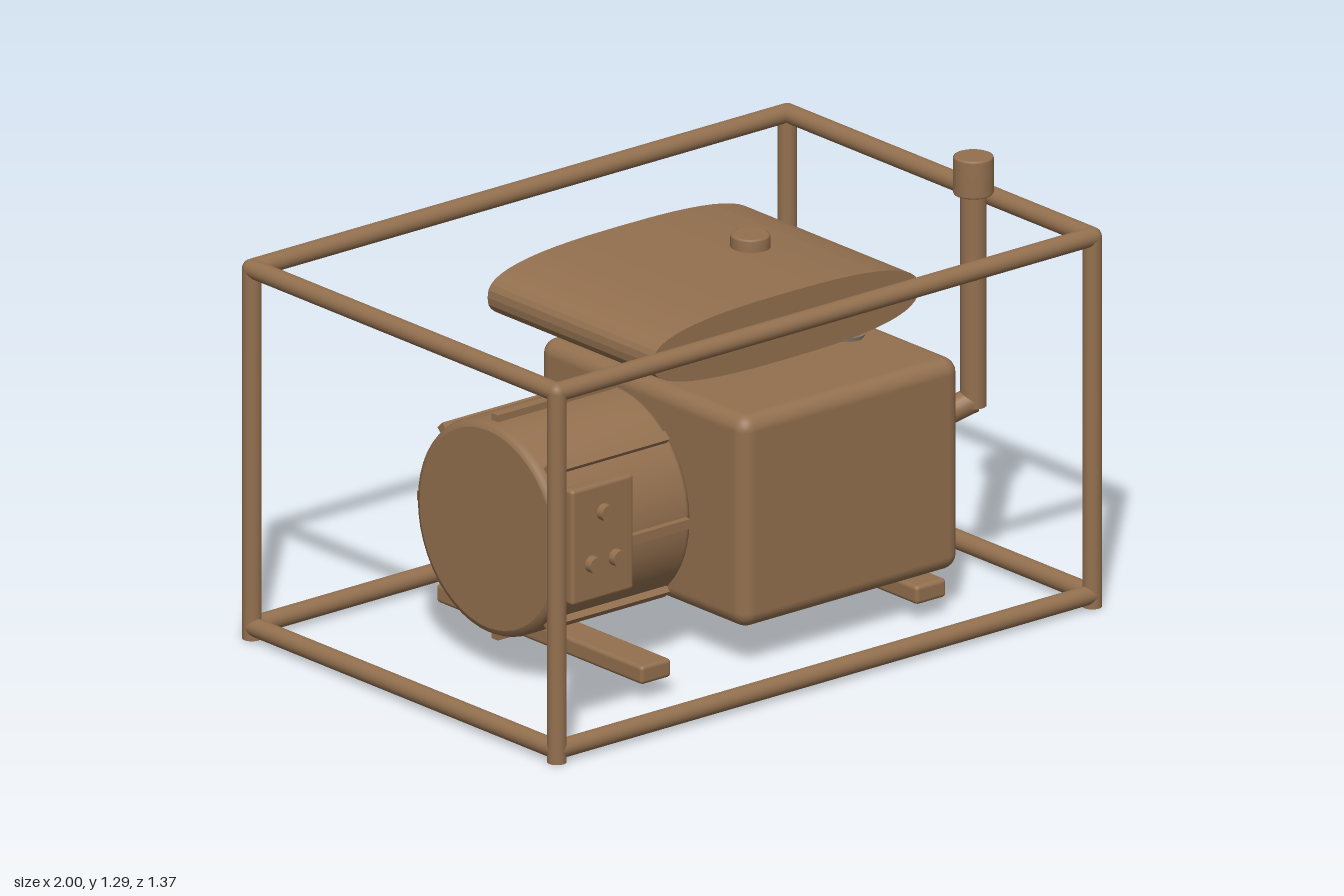
import * as THREE from 'three';
import { RoundedBoxGeometry } from 'three/addons/geometries/RoundedBoxGeometry.js';

export function createModel() {
  const model = new THREE.Group();
  const brown = new THREE.MeshStandardMaterial({ color: 0x93704f });
  brown.name = 'brown paint';
  const grey = new THREE.MeshStandardMaterial({ color: 0x8a7d72 });
  grey.name = 'bare metal';

  const add = (name, geometry, x = 0, y = 0, z = 0, material = brown, parent = model) => {
    const mesh = new THREE.Mesh(geometry, material);
    mesh.name = name;
    mesh.position.set(x, y, z);
    parent.add(mesh);
    return mesh;
  };
  const group = (name, x = 0, y = 0, z = 0) => {
    const g = new THREE.Group();
    g.name = name;
    g.position.set(x, y, z);
    model.add(g);
    return g;
  };
  // Straight round bar between two points
  const bar = (name, a, b, r, parent = model) => {
    const from = new THREE.Vector3(...a), to = new THREE.Vector3(...b);
    const dir = to.clone().sub(from);
    const mesh = add(name, new THREE.CylinderGeometry(r, r, dir.length(), 20), 0, 0, 0, brown, parent);
    mesh.position.copy(from).add(to).multiplyScalar(0.5);
    mesh.quaternion.setFromUnitVectors(new THREE.Vector3(0, 1, 0), dir.normalize());
    return mesh;
  };
  // Capped cylinder with softened rims, along y and centred
  const softCylinder = (r, h, bevel, sides) => new THREE.LatheGeometry([
    [0, -h / 2], [r - bevel, -h / 2], [r - bevel, -h / 2], [r - bevel * 0.3, -h / 2 + bevel * 0.3],
    [r, -h / 2 + bevel], [r, h / 2 - bevel], [r - bevel * 0.3, h / 2 - bevel * 0.3],
    [r - bevel, h / 2], [r - bevel, h / 2], [0, h / 2],
  ].map(([x, y]) => new THREE.Vector2(x, y)), sides);

  // Tubular frame
  const frame = group('frame');
  const FX = 0.973, FZ = 0.655, LOW = 0.036, HIGH = 1.092, FR = 0.0275;
  for (const y of [LOW, HIGH]) {
    for (const s of [-1, 1]) {
      bar('longRail', [-FX, y, s * FZ], [FX, y, s * FZ], FR, frame);
      bar('crossRail', [s * FX, y, -FZ], [s * FX, y, FZ], FR, frame);
    }
  }
  for (const sx of [-1, 1]) {
    for (const sz of [-1, 1]) {
      bar('post', [sx * FX, 0, sz * FZ], [sx * FX, HIGH, sz * FZ], FR, frame);
      add('frameCorner', new THREE.SphereGeometry(FR, 16, 10), sx * FX, HIGH, sz * FZ, brown, frame);
    }
  }

  // Mounting feet
  for (const x of [-0.43, 0.57]) {
    add('foot', new RoundedBoxGeometry(0.11, 0.055, 0.885, 2, 0.012), x, 0.0775, 0);
  }

  // Engine block
  add('engineBlock', new RoundedBoxGeometry(0.795, 0.625, 0.885, 3, 0.045), 0.2825, 0.4325, 0);

  // Alternator drum with eight lengthwise ribs
  const alternator = group('alternator', -0.43, 0.434, 0);
  add('drum', softCylinder(0.313, 0.482, 0.022, 48), 0, 0, 0, brown, alternator).rotation.z = Math.PI / 2;
  for (let i = 0; i < 8; i++) {
    const a = i * Math.PI / 4;
    const rib = add('rib', new THREE.BoxGeometry(0.43, 0.035, 0.028),
      0, Math.cos(a) * 0.315, Math.sin(a) * 0.315, brown, alternator);
    rib.rotation.x = a;
  }

  // Tilted finned cylinder
  const head = group('finnedCylinder', 0.462, 0.7, 0);
  head.rotation.z = -0.22;
  add('cylinderBarrel', new THREE.CylinderGeometry(0.11, 0.11, 0.3, 32), 0, 0.1, 0, grey, head);
  for (let i = 0; i < 5; i++) {
    add('coolingFin', new THREE.CylinderGeometry(0.175, 0.175, 0.01, 36), 0, 0.07 + i * 0.045, 0, grey, head);
  }

  // Fuel tank: rounded-oval section extruded front to back
  const section = [];
  const power = (v) => Math.sign(v) * Math.pow(Math.abs(v), 2 / 2.7);
  for (let i = 0; i < 48; i++) {
    const a = i / 48 * Math.PI * 2;
    section.push(new THREE.Vector2(0.483 * power(Math.cos(a)), 0.098 * power(Math.sin(a))));
  }
  const tank = new THREE.ExtrudeGeometry(new THREE.Shape(section), { depth: 0.71, bevelEnabled: false });
  add('fuelTank', tank, 0.113, 0.947, -0.355);
  add('fuelCap', softCylinder(0.056, 0.05, 0.006, 28), 0.285, 1.055, 0);

  // Exhaust
  const exhaust = group('exhaust');
  bar('exhaustElbow', [0.675, 0.51, 0.29], [0.795, 0.57, 0.355], 0.037, exhaust);
  bar('exhaustStack', [0.795, 0.552, 0.355], [0.795, 1.2, 0.355], 0.037, exhaust);
  add('exhaustCap', softCylinder(0.057, 0.112, 0.006, 28), 0.795, 1.234, 0.355, brown, exhaust);

  // Control panel with three sockets
  const panel = group('controlPanel', -0.788, 0.605, 0.615);
  add('panelPlate', new RoundedBoxGeometry(0.226, 0.342, 0.042, 2, 0.012), 0, 0, 0, brown, panel);
  for (const [x, y] of [[0, 0.086], [-0.043, -0.058], [0.043, -0.058]]) {
    const socket = add('socket', new THREE.CylinderGeometry(0.024, 0.024, 0.04, 24), x, y, 0.025, brown, panel);
    socket.rotation.x = Math.PI / 2;
  }

  return model;
}
